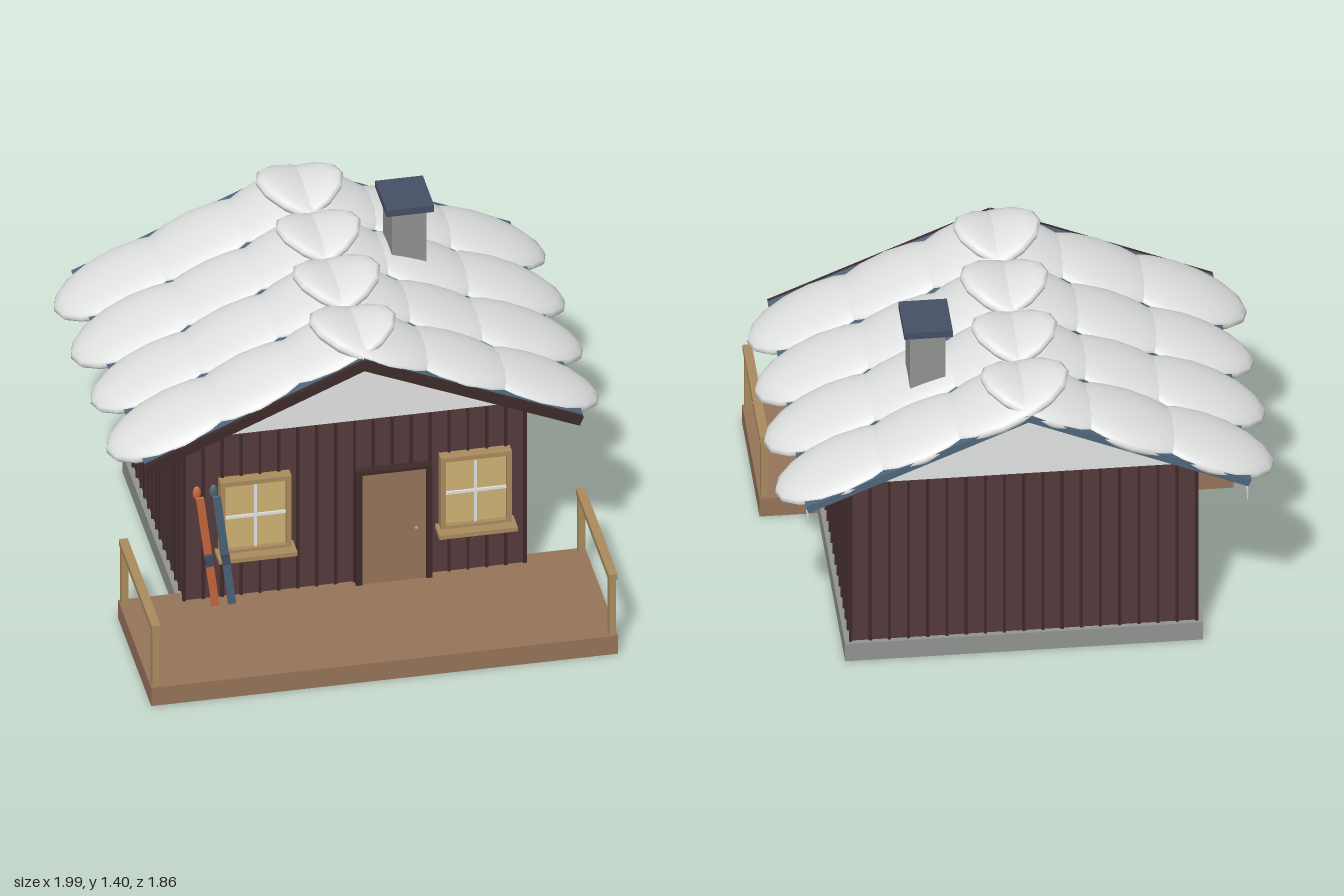
import * as THREE from 'three';

const mat = (name, color) => {
  const m = new THREE.MeshStandardMaterial({ color });
  m.name = name;
  return m;
};

export function createModel() {
  const plank = mat('maroon plank', 0x553a3c);
  const dark = mat('dark maroon', 0x3f2a2b);
  const snowWhite = mat('snow white', 0xe2e4e3);
  const stone = mat('stone grey', 0x929492);
  const slate = mat('slate blue', 0x4f677c);
  const navy = mat('navy', 0x474f66);
  const brown = mat('deck brown', 0x97745a);
  const wood = mat('light wood', 0xab8c5f);
  const glow = mat('window yellow', 0xcfb374);
  const orange = mat('ski orange', 0xcc6b40);

  const model = new THREE.Group();
  model.name = 'snowyCabin';
  const add = (name, geo, material, parent = model) => {
    const mesh = new THREE.Mesh(geo, material);
    mesh.name = name;
    parent.add(mesh);
    return mesh;
  };
  // Box given by its min and max on each axis
  const box = (name, material, x0, x1, y0, y1, z0, z1, parent = model) => {
    const mesh = add(name, new THREE.BoxGeometry(x1 - x0, y1 - y0, z1 - z0), material, parent);
    mesh.position.set((x0 + x1) / 2, (y0 + y1) / 2, (z0 + z1) / 2);
    return mesh;
  };

  // Base, deck and walls
  const W = 0.685, BACK = -0.725, FRONT = 0.335, FLOOR = 0.085, TOP = 0.84;
  box('foundation', stone, -0.71, 0.71, 0.001, 0.084, -0.745, 0.35);
  box('deck', brown, -0.94, 0.94, 0, FLOOR, 0.28, 0.93);
  box('walls', plank, -W, W, FLOOR, TOP, BACK, FRONT);

  // Battens on all four walls
  const battens = new THREE.Group();
  battens.name = 'wallBattens';
  model.add(battens);
  const b = 0.006, t = 0.008;
  for (let i = 0; i <= 18; i++) {
    const x = -W + (2 * W * i) / 18;
    box('frontBatten', dark, x - b, x + b, FLOOR, TOP, FRONT, FRONT + t, battens);
    box('backBatten', dark, x - b, x + b, FLOOR, TOP, BACK - t, BACK, battens);
  }
  for (let i = 0; i <= 14; i++) {
    const z = BACK + ((FRONT - BACK) * i) / 14;
    box('leftBatten', dark, W, W + t, FLOOR, TOP, z - b, z + b, battens);
    box('rightBatten', dark, -W - t, -W, FLOOR, TOP, z - b, z + b, battens);
  }

  // Gable prism
  const tri = new THREE.Shape([
    new THREE.Vector2(-0.69, TOP), new THREE.Vector2(0.69, TOP), new THREE.Vector2(0, 1.195),
  ]);
  const gable = add('gable',
    new THREE.ExtrudeGeometry(tri, { depth: FRONT - BACK, bevelEnabled: false }), snowWhite);
  gable.position.z = BACK;

  // Roof slopes with barge boards and rows of snow
  const angle = Math.atan(0.427), len = 0.88 / Math.cos(angle);
  const blob = new THREE.SphereGeometry(1, 16, 12);
  const rows = [0.32, -0.03, -0.375, -0.72];
  for (const s of [1, -1]) {
    const slope = new THREE.Group();
    slope.name = s > 0 ? 'leftRoof' : 'rightRoof';
    slope.position.y = 1.235;
    slope.rotation.z = -s * angle;
    model.add(slope);
    const span = s > 0 ? [0, len] : [-len, 0];
    box('roofPanel', slate, ...span, -0.02, 0.01, -0.91, 0.515, slope);
    box('bargeBoard', dark, ...span, -0.033, 0.008, 0.515, 0.533, slope);
    rows.forEach((z, r) => {
      [0.1, 0.41, 0.715].forEach((x, c) => {
        const wobble = 0.012 * Math.sin(r * 2.3 + c * 1.7 + s);
        const puff = add('snowPuff', blob, snowWhite, slope);
        puff.position.set((s * x) / Math.cos(angle), 0.003, z);
        puff.scale.set(0.3 + wobble * 0.5, 0.057 + wobble * 0.3, 0.2 + wobble * 0.5);
      });
    });
    // Icicles under the eaves
    [[0.3, 0.06], [0.14, 0.05], [-0.17, 0.06], [-0.37, 0.1], [-0.64, 0.06], [-0.87, 0.1]]
      .forEach(([z, h]) => {
        const cone = add('icicle', new THREE.ConeGeometry(0.008, h, 6), snowWhite);
        cone.rotation.x = Math.PI;
        cone.position.set(s * 0.872, 0.837 - h / 2, z);
      });
  }

  // Chimney
  box('chimney', stone, 0.285, 0.425, 0.95, 1.368, -0.485, -0.315);
  box('chimneyCap', navy, 0.258, 0.45, 1.366, 1.396, -0.51, -0.288);

  // Door with frame and knob
  box('doorFrameSide', dark, 0, 0.025, FLOOR, 0.615, FRONT, 0.372);
  box('doorFrameSide', dark, 0.283, 0.308, FLOOR, 0.615, FRONT, 0.372);
  box('doorFrameTop', dark, 0.025, 0.283, 0.6, 0.615, FRONT, 0.372);
  box('door', brown, 0.025, 0.283, FLOOR, 0.6, FRONT, 0.365);
  add('doorKnob', new THREE.SphereGeometry(0.009, 10, 8), wood).position.set(0.242, 0.327, 0.372);

  // Windows
  for (const x of [-0.405, 0.482]) {
    const win = new THREE.Group();
    win.name = 'window';
    win.position.x = x;
    model.add(win);
    box('pane', glow, -0.125, 0.125, 0.32, 0.63, FRONT, 0.36, win);
    for (const s of [-1, 1]) {
      box('frameSide', wood, s * 0.133 - 0.01, s * 0.133 + 0.01, 0.31, 0.645, FRONT, 0.382, win);
    }
    box('frameTop', wood, -0.123, 0.123, 0.625, 0.645, FRONT, 0.382, win);
    box('frameBottom', wood, -0.123, 0.123, 0.31, 0.325, FRONT, 0.382, win);
    box('sill', wood, -0.158, 0.158, 0.293, 0.312, FRONT, 0.425, win);
    box('mullion', snowWhite, -0.006, 0.006, 0.325, 0.625, 0.36, 0.368, win);
    box('glazingBar', snowWhite, -0.123, 0.123, 0.464, 0.476, 0.36, 0.368, win);
  }

  // Deck railings
  for (const s of [-1, 1]) {
    const x = s * 0.92;
    box('railTop', wood, x - 0.018, x + 0.018, 0.347, 0.374, 0.285, 0.93);
    for (const z of [0.308, 0.905]) {
      box('railPost', wood, x - 0.014, x + 0.014, FLOOR, 0.348, z - 0.015, z + 0.015);
    }
  }

  // Pair of skis propped by the wall
  for (const [x, material] of [[-0.572, orange], [-0.505, slate]]) {
    const low = new THREE.Vector3(x, FLOOR + 0.002, 0.397);
    const high = new THREE.Vector3(x - 0.073, 0.632, 0.447);
    const dir = high.clone().sub(low);
    const ski = new THREE.Group();
    ski.name = 'ski';
    ski.position.copy(low).add(high).multiplyScalar(0.5);
    ski.quaternion.setFromUnitVectors(new THREE.Vector3(0, 1, 0), dir.clone().normalize());
    model.add(ski);
    add('skiBlade', new THREE.BoxGeometry(0.032, dir.length(), 0.01), material, ski);
    box('skiBinding', navy, -0.016, 0.016, -0.065, -0.01, -0.012, 0.018, ski);
    const tip = add('skiTip', new THREE.SphereGeometry(1, 10, 8), material);
    tip.scale.set(0.017, 0.03, 0.008);
    tip.position.set(x - 0.075, 0.625, 0.397);
  }

  return model;
}
